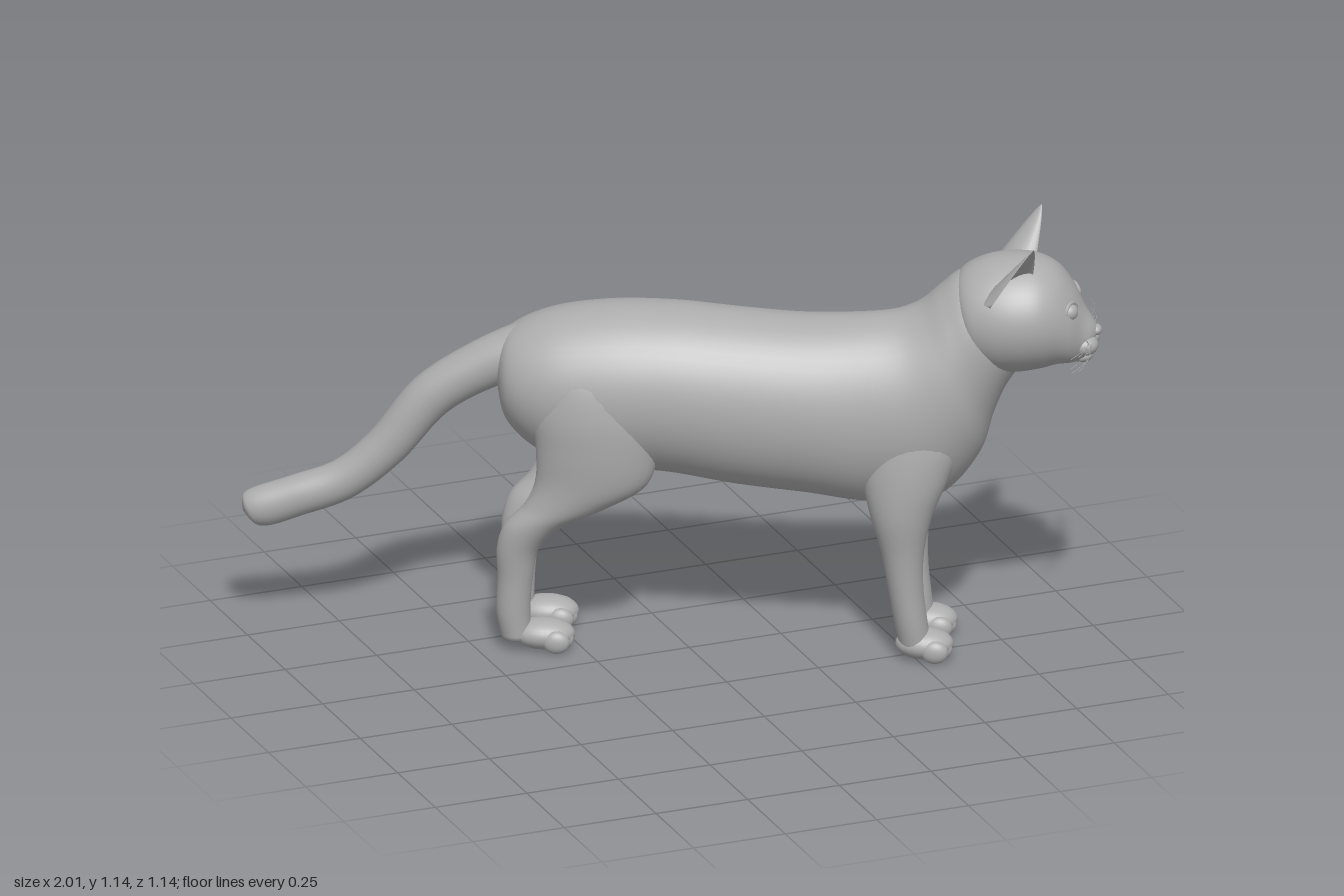
import * as THREE from 'three';

const fur = new THREE.MeshStandardMaterial({ color: 0xacacac, side: THREE.DoubleSide });
fur.name = 'grey fur';

function add(parent, name, geometry) {
  const mesh = new THREE.Mesh(geometry, fur);
  mesh.name = name;
  parent.add(mesh);
  return mesh;
}

// Skin a list of closed rings (arrays of Vector3) with smooth normals
function skin(rings) {
  const n = rings[0].length, index = [];
  for (let i = 0; i < rings.length - 1; i++) {
    for (let j = 0; j < n; j++) {
      const k = (j + 1) % n, a = i * n, b = a + n;
      index.push(a + j, a + k, b + j, a + k, b + k, b + j);
    }
  }
  const geometry = new THREE.BufferGeometry().setFromPoints(rings.flat());
  geometry.setIndex(index);
  geometry.computeVertexNormals();
  return geometry;
}

// Smooth loft. Each row is an elliptical section: [ax, ay, bx, by, halfWidth, z],
// where a and b are the two ends of its diameter in the side plane.
function loft(rows, side = 1, n = 36) {
  const curve = (f) => new THREE.CatmullRomCurve3(rows.map(f));
  const ca = curve((r) => new THREE.Vector3(r[0], r[1], r[4]));
  const cb = curve((r) => new THREE.Vector3(r[2], r[3], (r[5] || 0) * side));
  const steps = (rows.length - 1) * 6, rings = [];
  for (let i = 0; i <= steps; i++) {
    const a = ca.getPoint(i / steps), b = cb.getPoint(i / steps);
    const ring = [];
    for (let j = 0; j < n; j++) {
      const t = (j / n) * Math.PI * 2, c = Math.cos(t) / 2;
      ring.push(new THREE.Vector3(
        (a.x + b.x) / 2 + (a.x - b.x) * c,
        (a.y + b.y) / 2 + (a.y - b.y) * c,
        b.z + a.z * Math.sin(t)));
    }
    rings.push(ring);
  }
  // Close both ends with a collapsed ring
  const close = (ring) => {
    const mid = ring[0].clone().add(ring[n / 2]).multiplyScalar(0.5);
    return ring.map(() => mid.clone());
  };
  return skin([close(rings[0]), ...rings, close(rings[steps])]);
}

function ellipsoid(parent, name, x, y, z, rx, ry, rz) {
  const mesh = add(parent, name, new THREE.SphereGeometry(1, 24, 16));
  mesh.position.set(x, y, z);
  mesh.scale.set(rx, ry, rz);
  return mesh;
}

// Leg rows: [x, y, halfLength, halfWidth, z]
function leg(parent, name, rows, side) {
  add(parent, name, loft(rows.map(([x, y, a, w, z]) => [x - a, y, x + a, y, w, z]), side));
}

function paw(parent, name, x, z, length) {
  const group = new THREE.Group();
  group.name = name;
  parent.add(group);
  ellipsoid(group, 'pad', x, 0.04, z, length, 0.04, 0.054);
  for (let i = 0; i < 4; i++) {
    const k = i - 1.5;
    ellipsoid(group, 'toe', x + length - 0.032 - Math.abs(k) * 0.009, 0.031, z + k * 0.028, 0.034, 0.03, 0.019);
  }
}

// Cupped ear with a crescent section that narrows towards the tip
function ear(side) {
  const base = new THREE.Vector3(0.815, 0.985, 0.094 * side);
  const tip = new THREE.Vector3(0.878, 1.145, 0.157 * side);
  const front = new THREE.Vector3(0.8, 0, 0.6 * side);
  const across = new THREE.Vector3(-0.6, 0, 0.8 * side);
  const rings = [], n = 12;
  for (let i = 0; i <= 12; i++) {
    const t = i / 12, w = 0.076 * Math.pow(1 - t, 0.8) + 0.002, d = 0.066 * (1 - t) + 0.002;
    const centre = base.clone().lerp(tip, t);
    const point = (q, depth) => centre.clone()
      .addScaledVector(across, w * Math.cos(q)).addScaledVector(front, -depth * Math.sin(q));
    const ring = [];
    for (let j = 0; j <= n; j++) ring.push(point((j / n) * Math.PI, d));
    for (let j = n - 1; j > 0; j--) ring.push(point((j / n) * Math.PI, d * 0.6));
    rings.push(ring);
  }
  return skin(rings);
}

export function createModel() {
  const model = new THREE.Group();
  model.name = 'cat';
  // The cat is built facing +x, then turned a little
  const cat = new THREE.Group();
  cat.name = 'body group';
  cat.rotation.y = -0.454;
  cat.position.set(0.024, 0, -0.049);
  model.add(cat);

  // Rump, trunk, chest and neck
  add(cat, 'trunk', loft([
    [-0.49, 0.79, -0.49, 0.7, 0.045],
    [-0.455, 0.84, -0.465, 0.6, 0.12],
    [-0.36, 0.885, -0.38, 0.52, 0.17],
    [-0.22, 0.91, -0.24, 0.48, 0.192],
    [-0.05, 0.913, -0.06, 0.47, 0.195],
    [0.12, 0.9, 0.12, 0.44, 0.19],
    [0.28, 0.89, 0.3, 0.42, 0.186],
    [0.42, 0.895, 0.46, 0.4, 0.18],
    [0.52, 0.908, 0.63, 0.42, 0.175],
    [0.58, 0.935, 0.735, 0.54, 0.165],
    [0.63, 0.98, 0.77, 0.65, 0.15],
    [0.68, 1.02, 0.805, 0.73, 0.138],
    [0.75, 1.03, 0.85, 0.79, 0.11],
  ], 1, 48));

  // Tail, from tip to root
  add(cat, 'tail', loft([
    [-1.135, 0.345, -1.13, 0.32, 0.016],
    [-1.13, 0.37, -1.09, 0.285, 0.04],
    [-1.02, 0.415, -0.97, 0.32, 0.048],
    [-0.905, 0.46, -0.85, 0.37, 0.05],
    [-0.815, 0.54, -0.73, 0.47, 0.053],
    [-0.7, 0.69, -0.61, 0.61, 0.057],
    [-0.55, 0.795, -0.47, 0.69, 0.064],
    [-0.42, 0.86, -0.36, 0.72, 0.075],
  ]));

  // Head, from nape to muzzle
  const head = new THREE.Group();
  head.name = 'head';
  cat.add(head);
  add(head, 'skull', loft([
    [0.66, 0.98, 0.7, 0.86, 0.07],
    [0.69, 1.03, 0.72, 0.79, 0.13],
    [0.75, 1.06, 0.77, 0.765, 0.155],
    [0.82, 1.07, 0.83, 0.765, 0.162],
    [0.88, 1.065, 0.89, 0.775, 0.152],
    [0.93, 1.04, 0.93, 0.785, 0.128],
    [0.97, 0.99, 0.965, 0.787, 0.097],
    [1.0, 0.93, 0.985, 0.792, 0.065],
    [1.022, 0.895, 1.0, 0.8, 0.045],
    [1.032, 0.875, 1.008, 0.82, 0.024],
  ], 1, 48));
  ellipsoid(head, 'nose', 1.027, 0.872, 0, 0.014, 0.014, 0.02);
  ellipsoid(head, 'chin', 0.99, 0.806, 0, 0.03, 0.02, 0.036);

  for (const side of [1, -1]) {
    const label = side > 0 ? 'right' : 'left';

    // Face
    add(head, label + 'Ear', ear(side));
    ellipsoid(head, label + 'MuzzlePad', 0.998, 0.842, 0.03 * side, 0.036, 0.028, 0.036);
    ellipsoid(head, label + 'Eye', 0.96, 0.945, 0.067 * side, 0.025, 0.024, 0.025);
    const lid = add(head, label + 'Eyelid', new THREE.TorusGeometry(0.025, 0.005, 8, 28));
    lid.position.set(0.967, 0.945, 0.07 * side);
    lid.rotation.y = Math.PI / 2 - 0.5 * side;
    for (let i = 0; i < 6; i++) {
      const y = 0.832 + i * 0.006, end = 0.82 + i * 0.011;
      const path = new THREE.QuadraticBezierCurve3(
        new THREE.Vector3(1.01 - (i % 3) * 0.01, y, 0.045 * side),
        new THREE.Vector3(1.035, (y + end) / 2 + 0.022, 0.12 * side),
        new THREE.Vector3(0.975 + (i % 2) * 0.02, end, (0.175 + (i % 3) * 0.012) * side));
      add(head, label + 'Whisker', new THREE.TubeGeometry(path, 10, 0.0009, 4));
    }

    // Front leg
    leg(cat, label + 'FrontLeg', [
      [0.575, 0.03, 0.04, 0.045, 0.083],
      [0.563, 0.1, 0.042, 0.052, 0.088],
      [0.55, 0.2, 0.045, 0.053, 0.096],
      [0.543, 0.3, 0.055, 0.058, 0.102],
      [0.54, 0.4, 0.08, 0.07, 0.106],
      [0.55, 0.5, 0.11, 0.075, 0.104],
      [0.56, 0.6, 0.125, 0.07, 0.1],
      [0.55, 0.7, 0.11, 0.055, 0.095],
      [0.54, 0.78, 0.06, 0.03, 0.085],
    ], side);
    paw(cat, label + 'FrontPaw', 0.597, 0.083 * side, 0.074);

    // Hind leg with hock and thigh
    leg(cat, label + 'HindLeg', [
      [-0.435, 0.03, 0.038, 0.04, 0.08],
      [-0.443, 0.1, 0.043, 0.044, 0.083],
      [-0.438, 0.2, 0.045, 0.044, 0.09],
      [-0.43, 0.28, 0.054, 0.048, 0.097],
      [-0.39, 0.345, 0.075, 0.054, 0.105],
      [-0.305, 0.405, 0.108, 0.062, 0.112],
      [-0.243, 0.47, 0.143, 0.07, 0.117],
      [-0.23, 0.56, 0.154, 0.078, 0.12],
      [-0.235, 0.66, 0.158, 0.08, 0.12],
      [-0.24, 0.76, 0.14, 0.07, 0.11],
      [-0.25, 0.85, 0.08, 0.035, 0.09],
    ], side);
    paw(cat, label + 'HindPaw', -0.367, 0.078 * side, 0.08);
  }
  return model;
}
